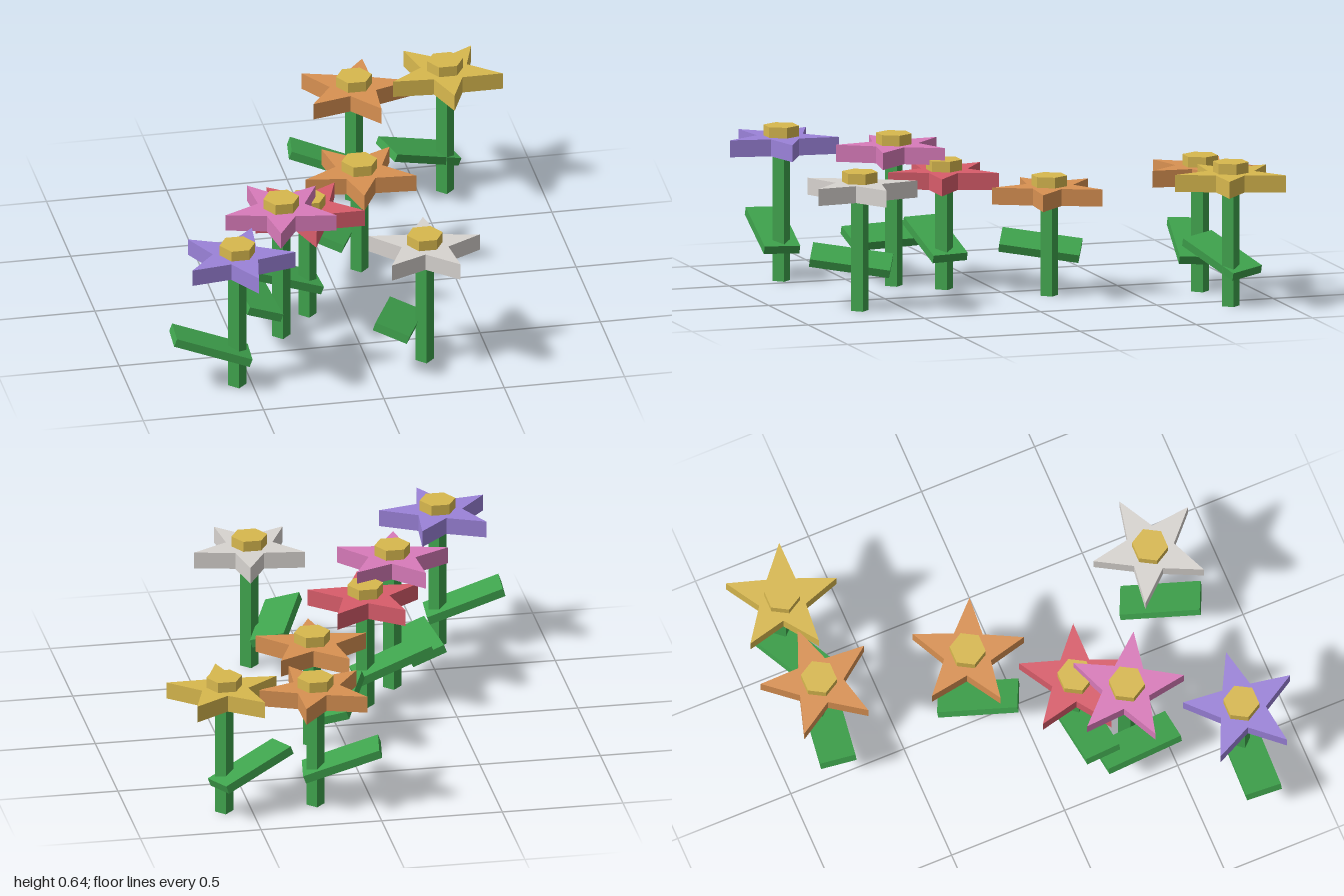
import * as THREE from 'three';

const mat = (name, color) => {
  const m = new THREE.MeshStandardMaterial({ color });
  m.name = name;
  return m;
};

const PETAL_DEPTH = 0.07;

// Five-pointed blossom lying flat, its top face at y = 0
function starGeometry(outer, inner) {
  const points = [];
  for (let i = 0; i < 10; i++) {
    const a = (i * Math.PI) / 5;
    const r = i % 2 ? inner : outer;
    points.push(new THREE.Vector2(r * Math.cos(a), r * Math.sin(a)));
  }
  const geo = new THREE.ExtrudeGeometry(new THREE.Shape(points), { depth: PETAL_DEPTH, bevelEnabled: false });
  return geo.rotateX(Math.PI / 2);
}

export function createModel() {
  const green = mat('leaf green', 0x3fa34d);
  const yellow = mat('golden yellow', 0xd8b84e);
  const orange = mat('orange', 0xd99152);
  const red = mat('red', 0xd95d6b);
  const pink = mat('pink', 0xd97bba);
  const purple = mat('purple', 0x9b82d9);
  const white = mat('off white', 0xd8d4d0);

  const starGeo = starGeometry(0.238, 0.1);
  const leafGeo = new THREE.BoxGeometry(0.33, 0.035, 0.15);
  const centreGeo = new THREE.CylinderGeometry(0.074, 0.074, 0.08, 6).rotateY(Math.PI / 6).toNonIndexed();
  centreGeo.computeVertexNormals();

  // x, z, petal top height, petal angle, leaf angle (degrees), petal material
  const flowers = [
    [-0.56, 0.756, 0.598, 7.7, 4, purple],
    [-0.298, 0.36, 0.586, 29.5, 86, pink],
    [-0.155, 0.193, 0.492, 20.7, -4, red],
    [0.132, -0.162, 0.453, 24.6, -67, orange],
    [0.233, 0.687, 0.53, -8.5, -67, white],
    [0.233, -0.777, 0.52, 1.4, 9, orange],
    [0.612, -0.78, 0.552, 19.9, -21, yellow],
  ];

  const model = new THREE.Group();
  model.name = 'flowerPatch';
  const rad = THREE.MathUtils.degToRad;

  for (const [x, z, top, petalAngle, leafAngle, petalMat] of flowers) {
    const flower = new THREE.Group();
    flower.name = 'flower';
    flower.position.set(x, 0, z);
    const add = (name, geo, material, px, py) => {
      const mesh = new THREE.Mesh(geo, material);
      mesh.name = name;
      mesh.position.set(px, py, 0);
      flower.add(mesh);
      return mesh;
    };

    // Square stem, corners along the axes
    const stemHeight = top - PETAL_DEPTH / 2;
    const stemGeo = new THREE.CylinderGeometry(0.038, 0.038, stemHeight, 4).toNonIndexed();
    stemGeo.computeVertexNormals();
    add('stem', stemGeo, green, 0, stemHeight / 2);

    // Leaf: turned first, then sloped down towards +x
    const leaf = add('leaf', leafGeo, green, -0.11, 0.19);
    leaf.rotation.set(0, -rad(leafAngle), -rad(20), 'ZYX');

    // Blossom and its raised centre
    add('petals', starGeo, petalMat, 0, top).rotation.y = -rad(petalAngle);
    add('flowerCentre', centreGeo, yellow, 0, top + 0.004);

    model.add(flower);
  }
  return model;
}
